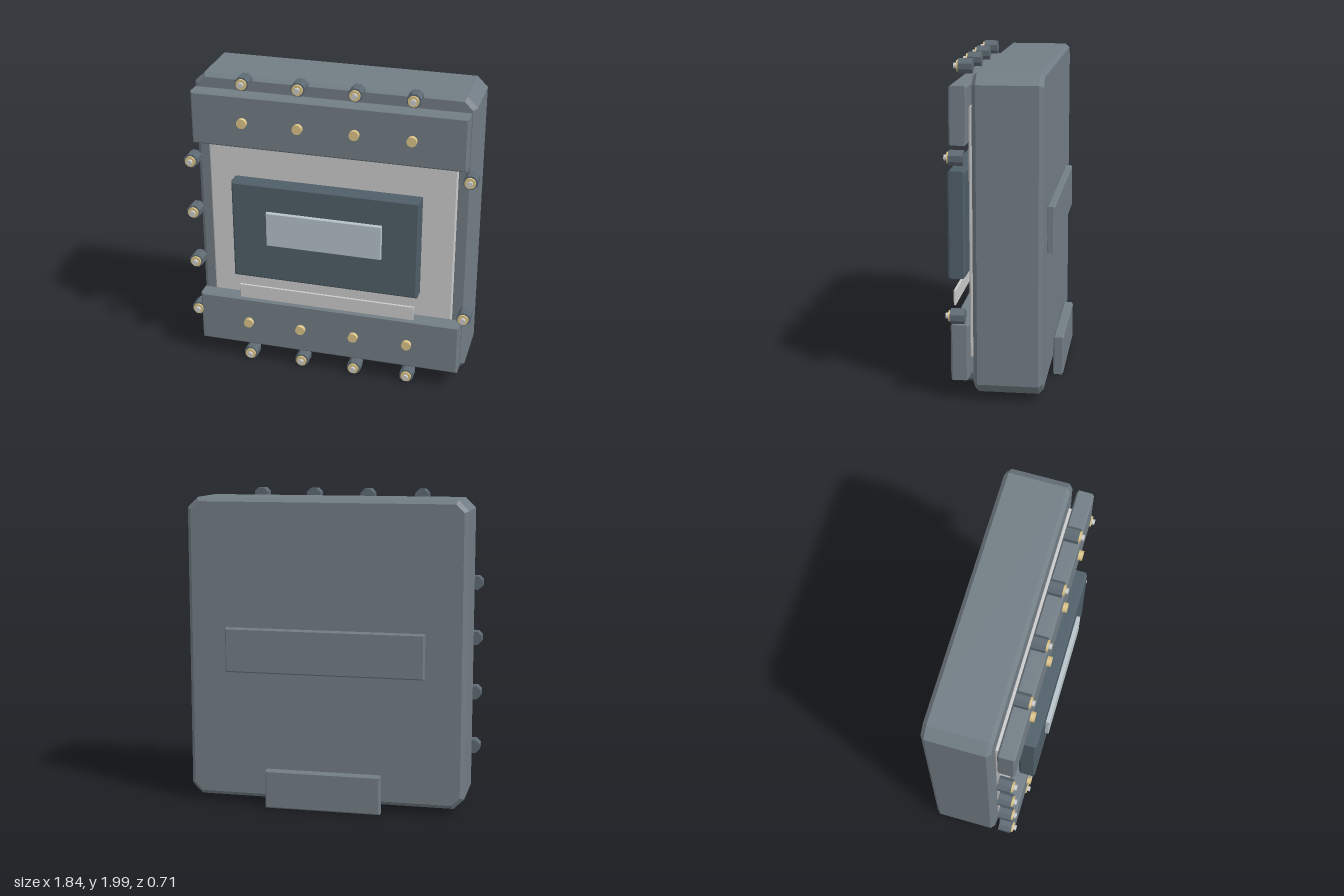
import * as THREE from 'three';

const mat = (color) => new THREE.MeshStandardMaterial({ color });

export function createModel() {
  const model = new THREE.Group();
  const casing = mat(0x727d85), dark = mat(0x4f5e68), nutMat = mat(0x5d6972);
  const glass = mat(0xb6c3c9), brass = mat(0xdcc488), grey = mat(0xcccccc);

  // Box between two corners, with bevelled front/back edges and optional cut corners
  function slab(name, material, [x0, x1], [y0, y1], [z0, z1], bevel, cut = 0) {
    const corners = cut
      ? [[x0 + cut, y0], [x1 - cut, y0], [x1, y0 + cut], [x1, y1 - cut],
        [x1 - cut, y1], [x0 + cut, y1], [x0, y1 - cut], [x0, y0 + cut]]
      : [[x0, y0], [x1, y0], [x1, y1], [x0, y1]];
    const shape = new THREE.Shape(corners.map(([x, y]) => new THREE.Vector2(x, y)));
    const geometry = new THREE.ExtrudeGeometry(shape, {
      depth: z1 - z0 - 2 * bevel, bevelEnabled: bevel > 0, bevelSegments: 1,
      bevelThickness: bevel, bevelSize: bevel, bevelOffset: -bevel,
    });
    geometry.translate(0, 0, z0 + bevel);
    const mesh = new THREE.Mesh(geometry, material);
    mesh.name = name;
    model.add(mesh);
  }

  // Cylinder lying along z between z0 and z1
  function disc(name, material, radius, z0, z1, sides, flat = false) {
    const geometry = new THREE.CylinderGeometry(radius, radius, z1 - z0, sides);
    geometry.rotateY(Math.PI / sides);
    geometry.rotateX(Math.PI / 2);
    geometry.translate(0, 0, (z0 + z1) / 2);
    const m = material.clone();
    m.flatShading = flat;
    const mesh = new THREE.Mesh(geometry, m);
    mesh.name = name;
    return mesh;
  }

  // Casing and front panel
  slab('casing', casing, [-0.88, 0.88], [0.05, 1.955], [-0.275, 0.135], 0.025, 0.065);
  slab('frontPanel', grey, [-0.79, 0.79], [0.257, 1.755], [0.13, 0.166], 0.008);

  // Cover bands above and below
  slab('upperBand', casing, [-0.857, 0.857], [1.54, 1.88], [0.165, 0.27], 0.01);
  slab('lowerBand', casing, [-0.857, 0.857], [0.13, 0.47], [0.165, 0.27], 0.01);

  // Display
  slab('displayFrame', dark, [-0.595, 0.595], [0.675, 1.335], [0.223, 0.33], 0.012);
  slab('displayScreen', glass, [-0.367, 0.367], [0.93, 1.157], [0.325, 0.354], 0.004);

  // Blank label plate
  slab('labelPlate', grey, [-0.57, 0.57], [0.5, 0.595], [0.286, 0.3], 0.002);

  // Rear mounting rail and foot clip
  slab('rearRail', casing, [-0.63, 0.63], [0.865, 1.145], [-0.318, -0.27], 0.008);
  slab('footClip', casing, [-0.367, 0.367], [0.008, 0.25], [-0.353, -0.29], 0.008);

  const columns = [-0.527, -0.176, 0.176, 0.527];

  // Brass rivets on both bands
  for (const y of [0.3, 1.71]) {
    for (const x of columns) {
      const rivet = disc('rivet', brass, 0.031, 0.265, 0.297, 16);
      rivet.position.set(x, y, 0);
      model.add(rivet);
    }
  }

  // Edge terminals: nut, brass washer and pin
  const spots = [
    ...columns.flatMap((x) => [[x, 0.053], [x, 1.955]]),
    ...[0.345, 0.7, 1.055, 1.41].map((y) => [-0.88, y]),
    [0.88, 0.535], [0.88, 1.475],
  ];
  for (const [x, y] of spots) {
    const terminal = new THREE.Group();
    terminal.name = 'terminal';
    terminal.add(
      disc('nut', nutMat, 0.046, 0.178, 0.262, 8, true),
      disc('washer', brass, 0.034, 0.262, 0.274, 16),
      disc('pin', grey, 0.018, 0.27, 0.292, 12),
    );
    terminal.position.set(x, y, 0);
    model.add(terminal);
  }

  return model;
}
